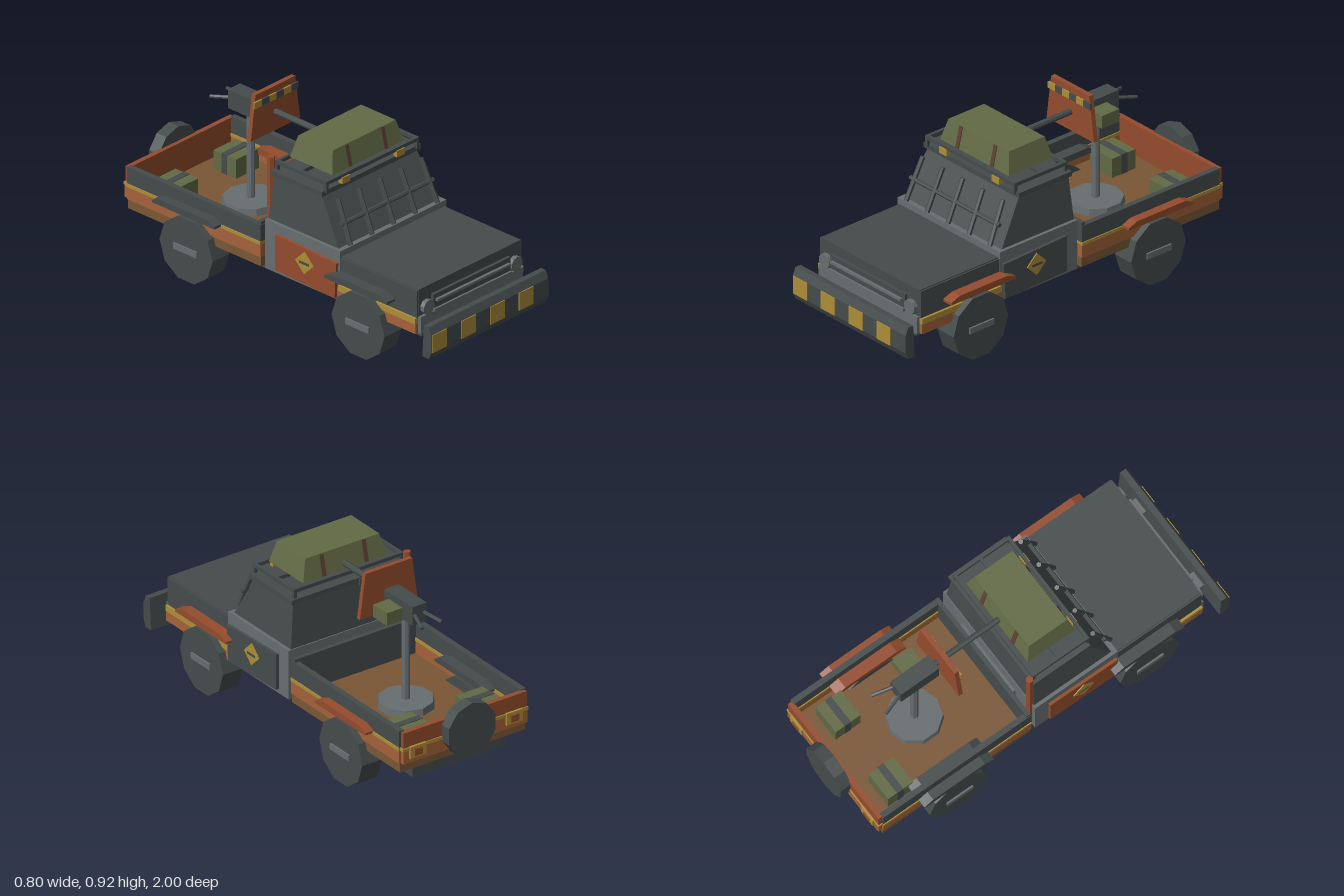
import * as THREE from 'three';

export function createModel() {
  const root = new THREE.Group();
  const mat = (name, color) => {
    const m = new THREE.MeshStandardMaterial({ color, flatShading: true });
    m.name = name;
    return m;
  };
  const dark = mat('charcoal', 0x454c4c);
  const grey = mat('steel grey', 0x676e70);
  const rust = mat('rust', 0x944c2d);
  const orange = mat('worn orange', 0xa4623a);
  const brown = mat('bed brown', 0x7a5735);
  const olive = mat('olive canvas', 0x626a45);
  const yellow = mat('faded yellow', 0xad8d38);
  const strapBrown = mat('strap brown', 0x5a3f31);

  const add = (name, geo, m) => {
    const mesh = new THREE.Mesh(geo, m);
    mesh.name = name;
    root.add(mesh);
    return mesh;
  };
  // box given by its limits on each axis
  const box = (name, m, x0, x1, y0, y1, z0, z1) => {
    const mesh = add(name, new THREE.BoxGeometry(x1 - x0, y1 - y0, z1 - z0), m);
    mesh.position.set((x0 + x1) / 2, (y0 + y1) / 2, (z0 + z1) / 2);
    return mesh;
  };
  // block with different rectangles at bottom and top: [halfWidth, zBack, zFront]
  const taper = (name, m, y0, y1, b, t) => {
    const g = new THREE.BoxGeometry(1, 1, 1);
    const p = g.attributes.position;
    for (let i = 0; i < p.count; i++) {
      const top = p.getY(i) > 0, r = top ? t : b;
      p.setXYZ(i, Math.sign(p.getX(i)) * r[0], top ? y1 : y0, p.getZ(i) > 0 ? r[2] : r[1]);
    }
    g.computeVertexNormals();
    return add(name, g, m);
  };
  // side profile of [z, y] points, extruded from x0 to x1
  const profile = (name, m, pts, x0, x1) => {
    const s = new THREE.Shape(pts.map(([z, y]) => new THREE.Vector2(z, y)));
    const mesh = add(name, new THREE.ExtrudeGeometry(s, { depth: x1 - x0, bevelEnabled: false }), m);
    mesh.rotation.y = -Math.PI / 2;
    mesh.position.x = x1;
    return mesh;
  };
  // straight rod between two points
  const rod = (name, m, a, b, r, sides = 6) => {
    const A = new THREE.Vector3(...a), B = new THREE.Vector3(...b);
    const d = B.clone().sub(A);
    const mesh = add(name, new THREE.CylinderGeometry(r, r, d.length(), sides), m);
    mesh.position.copy(A).add(B).multiplyScalar(0.5);
    mesh.quaternion.setFromUnitVectors(new THREE.Vector3(0, 1, 0), d.normalize());
    return mesh;
  };

  // chassis
  box('chassis', dark, -0.26, 0.26, 0.15, 0.225, -0.9, 0.82);
  box('bedConnector', grey, -0.2, 0.2, 0.22, 0.38, -0.11, -0.06);

  // wheels, with a flat side to the ground, and hub bars
  for (const s of [-1, 1]) for (const z of [0.545, -0.525]) {
    const g = new THREE.CylinderGeometry(0.165, 0.165, 0.11, 10);
    g.rotateZ(Math.PI / 2);
    add('wheel', g, dark).position.set(s * 0.335, 0.157, z);
    box('hubBar', grey, s * 0.392 - 0.007, s * 0.392 + 0.007, 0.143, 0.173, z - 0.073, z + 0.073);
  }

  // front body
  box('hood', dark, -0.337, 0.337, 0.29, 0.435, 0.39, 0.87);
  box('noseLower', grey, -0.337, 0.337, 0.215, 0.3, 0.39, 0.885);
  for (const s of [-1, 1]) {
    const side = (name, m, y0, y1, o) =>
      box(name, m, s * 0.34 - o, s * 0.34 + o, y0, y1, 0.39, 0.868);
    side('frontSidePanel', dark, 0.294, 0.43, 0.005);
    side('frontStripe', yellow, 0.265, 0.294, 0.017);
    side('frontSill', orange, 0.215, 0.265, 0.014);
    const lamp = new THREE.CylinderGeometry(0.036, 0.036, 0.025, 10);
    lamp.rotateX(Math.PI / 2);
    add('headlight', lamp, grey).position.set(s * 0.29, 0.337, 0.88);
  }
  box('grille', dark, -0.254, 0.254, 0.3, 0.385, 0.86, 0.885);
  box('grilleBar', grey, -0.24, 0.24, 0.349, 0.361, 0.88, 0.9);
  box('grilleLowerBar', grey, -0.254, 0.254, 0.3, 0.315, 0.88, 0.895);

  // bumper with hazard plates
  profile('bumper', dark, [[0.94, 0.14], [0.98, 0.14], [0.996, 0.175], [0.996, 0.265], [0.98, 0.302], [0.95, 0.302]], -0.385, 0.385);
  for (let i = 0; i < 4; i++) {
    const x = -0.38 + i * 0.19;
    box('bumperStripe', yellow, x, x + 0.095, 0.175, 0.265, 0.992, 1);
  }
  for (const s of [-1, 1]) box('bumperMount', grey, s * 0.22 - 0.04, s * 0.22 + 0.04, 0.17, 0.25, 0.86, 0.945);

  // cab
  box('cabLower', grey, -0.35, 0.35, 0.215, 0.465, -0.07, 0.395);
  taper('cabUpper', dark, 0.465, 0.695, [0.333, -0.065, 0.37], [0.31, -0.05, 0.24]);
  box('roof', dark, -0.325, 0.325, 0.685, 0.71, -0.06, 0.26);
  const doorPts = [[0.005, 0.237], [0.375, 0.225], [0.385, 0.405], [0.005, 0.417]];
  profile('leftDoor', dark, doorPts, 0.345, 0.365);
  profile('rightDoor', rust, doorPts, -0.365, -0.345);
  for (const s of [-1, 1]) {
    const d = box('doorSign', yellow, -0.004, 0.004, -0.04, 0.04, -0.04, 0.04);
    d.position.set(s * 0.366, 0.34, 0.19);
    d.rotation.x = Math.PI / 4;
    box('signMark', dark, s * 0.369 - 0.003, s * 0.369 + 0.003, 0.333, 0.345, 0.16, 0.22);
  }

  // windscreen guard
  for (let i = -2; i <= 2; i++)
    rod('guardRod', dark, [i * 0.143, 0.475, 0.4], [i * 0.137, 0.675, 0.31], 0.012);
  rod('guardCrossbar', dark, [-0.305, 0.572, 0.357], [0.305, 0.572, 0.357], 0.011);

  // roof rack
  for (const s of [-1, 1]) {
    box('rackSideRail', dark, s * 0.298 - 0.008, s * 0.298 + 0.008, 0.738, 0.756, -0.05, 0.268);
    for (const z of [-0.042, 0.26])
      box('rackPost', dark, s * 0.298 - 0.008, s * 0.298 + 0.008, 0.7, 0.74, z - 0.008, z + 0.008);
    box('roofLamp', yellow, s * 0.18 - 0.025, s * 0.18 + 0.025, 0.71, 0.742, 0.25, 0.274);
  }
  for (const z of [-0.042, 0.1, 0.26])
    box('rackCrossbar', dark, -0.298, 0.298, 0.738, 0.756, z - 0.008, z + 0.008);

  // roof load with straps on its sloping faces
  taper('roofLoad', olive, 0.755, 0.862, [0.235, -0.025, 0.24], [0.207, 0, 0.215]);
  for (const x of [-0.118, 0.118]) {
    profile('strapFront', strapBrown, [[0.23, 0.757], [0.244, 0.757], [0.219, 0.86], [0.205, 0.86]], x - 0.011, x + 0.011);
    profile('strapBack', strapBrown, [[-0.029, 0.757], [-0.015, 0.757], [0.01, 0.86], [-0.004, 0.86]], x - 0.011, x + 0.011);
  }

  // exhaust stack
  rod('exhaustStack', rust, [-0.31, 0.23, -0.072], [-0.31, 0.77, -0.072], 0.018);

  // cargo bed
  box('bedFloor', brown, -0.35, 0.35, 0.214, 0.262, -0.925, -0.095);
  box('bedFrontWall', dark, -0.35, 0.35, 0.262, 0.44, -0.118, -0.097);
  for (const s of [-1, 1]) {
    const wall = (name, m, y0, y1, o) =>
      box(name, m, s * 0.34 - 0.014, s * 0.34 + 0.014, y0, y1, -0.925, -0.095).scale.x = o;
    wall('bedWall', dark, 0.342, 0.425, 1);
    wall('bedStripe', yellow, 0.326, 0.342, 1.35);
    wall('bedLowerWall', orange, 0.262, 0.326, 1.15);
    // tail lamps
    box('tailLamp', yellow, s * 0.27 - 0.045, s * 0.27 + 0.045, 0.285, 0.345, -0.957, -0.945);
    box('tailLampLens', rust, s * 0.27 - 0.022, s * 0.27 + 0.022, 0.295, 0.33, -0.961, -0.955);
  }
  box('tailgate', rust, -0.345, 0.345, 0.262, 0.42, -0.945, -0.92);
  box('tailgateStripe', yellow, -0.35, 0.35, 0.326, 0.342, -0.95, -0.925);
  box('tailgateLower', orange, -0.347, 0.347, 0.262, 0.326, -0.948, -0.93);

  // fenders
  const fender = (m, zc, x0, x1) => profile('fender', m,
    [[zc - 0.195, 0.333], [zc + 0.195, 0.333], [zc + 0.195, 0.345], [zc + 0.145, 0.365], [zc - 0.145, 0.365], [zc - 0.195, 0.345]], x0, x1);
  fender(rust, 0.538, 0.335, 0.4);
  fender(dark, 0.538, -0.4, -0.335);
  fender(rust, -0.533, 0.27, 0.4);
  fender(dark, -0.533, -0.4, -0.27);

  // spare wheel
  const spare = new THREE.CylinderGeometry(0.136, 0.136, 0.06, 10);
  spare.rotateX(Math.PI / 2);
  add('spareWheel', spare, dark).position.set(0, 0.357, -0.97);

  // bundles in the bed
  for (const s of [-1, 1]) {
    box('bundle', olive, s * 0.2 - 0.075, s * 0.2 + 0.075, 0.262, 0.36, -0.84, -0.7);
    box('bundleBand', dark, s * 0.2 - 0.077, s * 0.2 + 0.077, 0.262, 0.363, -0.79, -0.755);
  }

  // turret mount
  const base = add('mountBase', new THREE.CylinderGeometry(0.13, 0.135, 0.035, 10), grey);
  base.position.set(0, 0.279, -0.49);
  rod('mountPost', grey, [0, 0.28, -0.49], [0, 0.74, -0.49], 0.019, 8);
  box('gunBody', dark, -0.04, 0.04, 0.725, 0.82, -0.595, -0.38);
  rod('gunBarrel', dark, [0, 0.785, -0.4], [0, 0.785, -0.005], 0.015, 8);
  box('ammoBox', olive, 0.04, 0.128, 0.72, 0.785, -0.52, -0.415);
  for (const s of [-1, 1])
    rod('gunHandle', dark, [s * 0.025, 0.775, -0.59], [s * 0.055, 0.757, -0.69], 0.009);

  // gun shield with hazard stripe
  taper('gunShield', rust, 0.69, 0.917, [0.162, -0.36, -0.337], [0.131, -0.36, -0.337]);
  for (let i = 0; i < 6; i++) {
    const x = -0.145 + i * 0.0483;
    box('shieldStripe', i % 2 ? dark : yellow, x, x + 0.0483, 0.852, 0.885, -0.338, -0.329);
  }
  return root;
}
